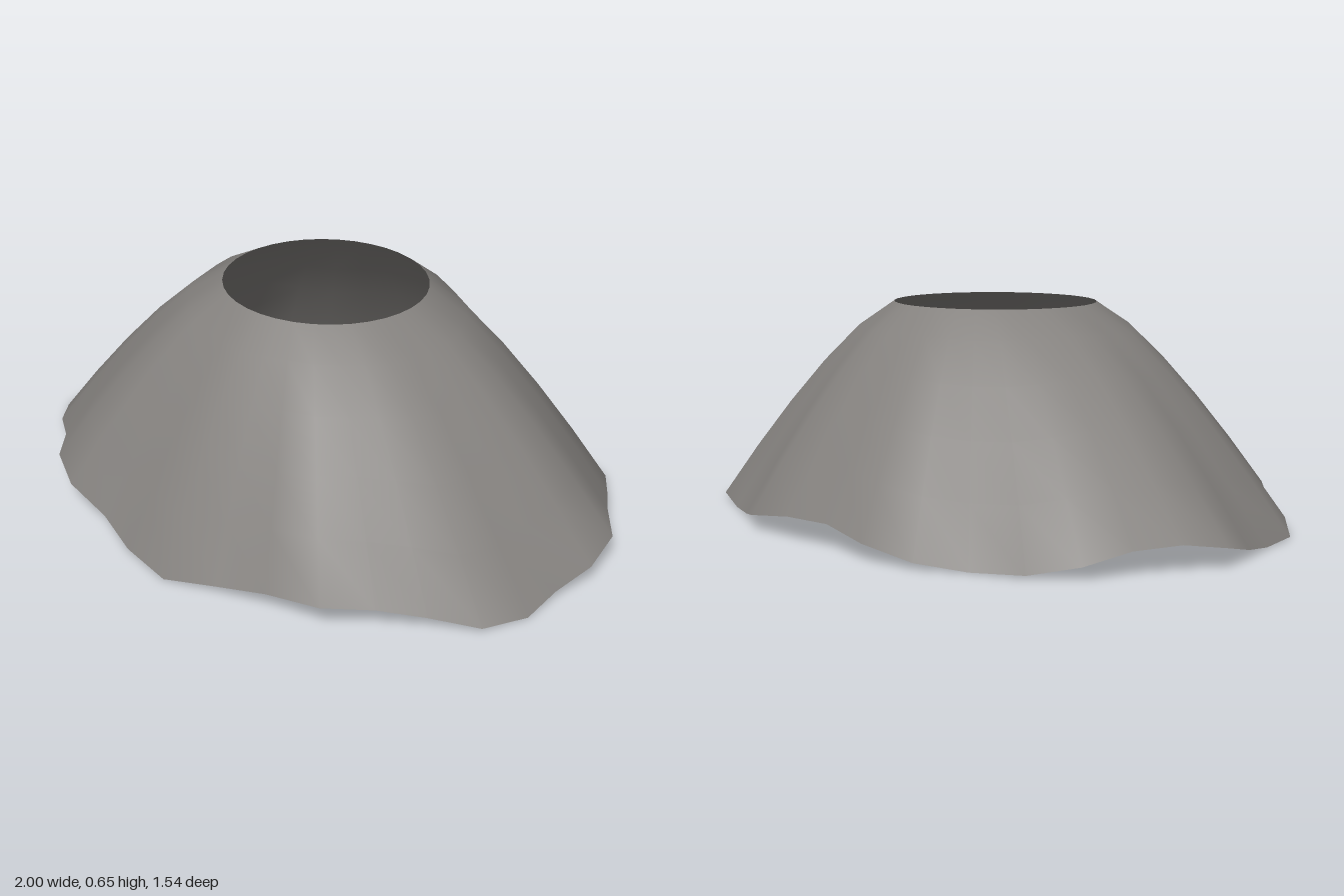
import * as THREE from 'three';

const SEGMENTS = 36, RINGS = 5, TOP = 0.65;

// Half of the wavy hem in plan [x, z], from the left end (+x) round to the right end; the other half mirrors it
const HEM = [
  [0.985, 0], [1.0, 0.13], [0.96, 0.27], [0.855, 0.375], [0.765, 0.485], [0.665, 0.6],
  [0.5, 0.65], [0.34, 0.705], [0.19, 0.772], [0, 0.76], [-0.16, 0.73], [-0.335, 0.73],
  [-0.49, 0.67], [-0.605, 0.57], [-0.75, 0.492], [-0.86, 0.395], [-0.9, 0.255], [-0.955, 0.125], [-1, 0],
];

function hemPoint(j) {
  const [x, z] = HEM[j <= 18 ? j : SEGMENTS - j];
  return [x, j <= 18 ? z : -z];
}

// Draped shell: rings run from the round opening out and down to the hem
function skirtGeometry() {
  const positions = [], index = [];
  for (let i = 0; i <= RINGS; i++) {
    const t = i / RINGS, drop = Math.pow(t, 1.3);
    for (let j = 0; j < SEGMENTS; j++) {
      const a = (j / SEGMENTS) * Math.PI * 2;
      const [hx, hz] = hemPoint(j);
      // five soft folds lift and lower the hem
      const hemY = 0.04 + 0.038 * Math.cos(5 * a - (4 * Math.PI) / 3);
      positions.push(
        THREE.MathUtils.lerp(0.015 + 0.32 * Math.cos(a), hx, t),
        THREE.MathUtils.lerp(TOP, hemY, drop),
        THREE.MathUtils.lerp(0.307 * Math.sin(a), hz, t),
      );
      if (i < RINGS) {
        const k = (j + 1) % SEGMENTS;
        const p = i * SEGMENTS + j, q = i * SEGMENTS + k;
        index.push(p, q, p + SEGMENTS, q, q + SEGMENTS, p + SEGMENTS);
      }
    }
  }
  const geometry = new THREE.BufferGeometry();
  geometry.setAttribute('position', new THREE.Float32BufferAttribute(positions, 3));
  geometry.setIndex(index);
  geometry.computeVertexNormals();
  return geometry;
}

export function createModel() {
  const group = new THREE.Group();
  group.name = 'drapedSkirt';
  const cloth = new THREE.MeshStandardMaterial({ color: 0x85827f, side: THREE.DoubleSide });
  cloth.name = 'greyCloth';
  const skirt = new THREE.Mesh(skirtGeometry(), cloth);
  skirt.name = 'skirt';
  group.add(skirt);
  return group;
}
